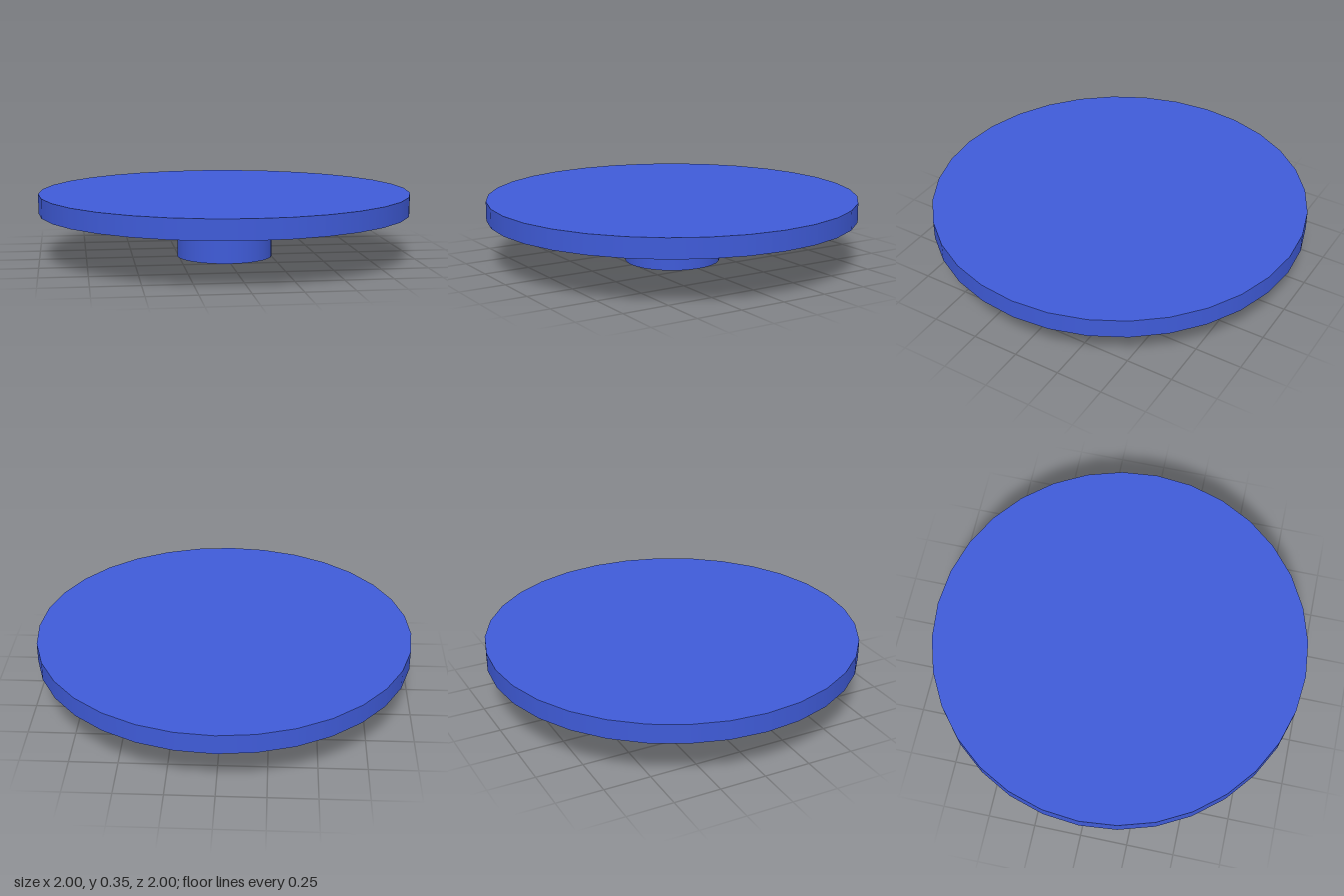
import * as THREE from 'three';

const SIDES = 32;

export function createModel() {
  const group = new THREE.Group();
  group.name = 'pedestalDisc';
  const material = new THREE.MeshStandardMaterial({ color: 0x3f5bd8 });

  // Upright round part resting at the given height
  const addRound = (name, radius, bottom, top) => {
    const geometry = new THREE.CylinderGeometry(radius, radius, top - bottom, SIDES);
    const mesh = new THREE.Mesh(geometry, material);
    mesh.name = name;
    mesh.position.y = (bottom + top) / 2;
    group.add(mesh);
  };

  // Short stem below, wide flat disc on top
  addRound('stem', 0.258, 0, 0.25);
  addRound('disc', 1, 0.25, 0.354);

  return group;
}
